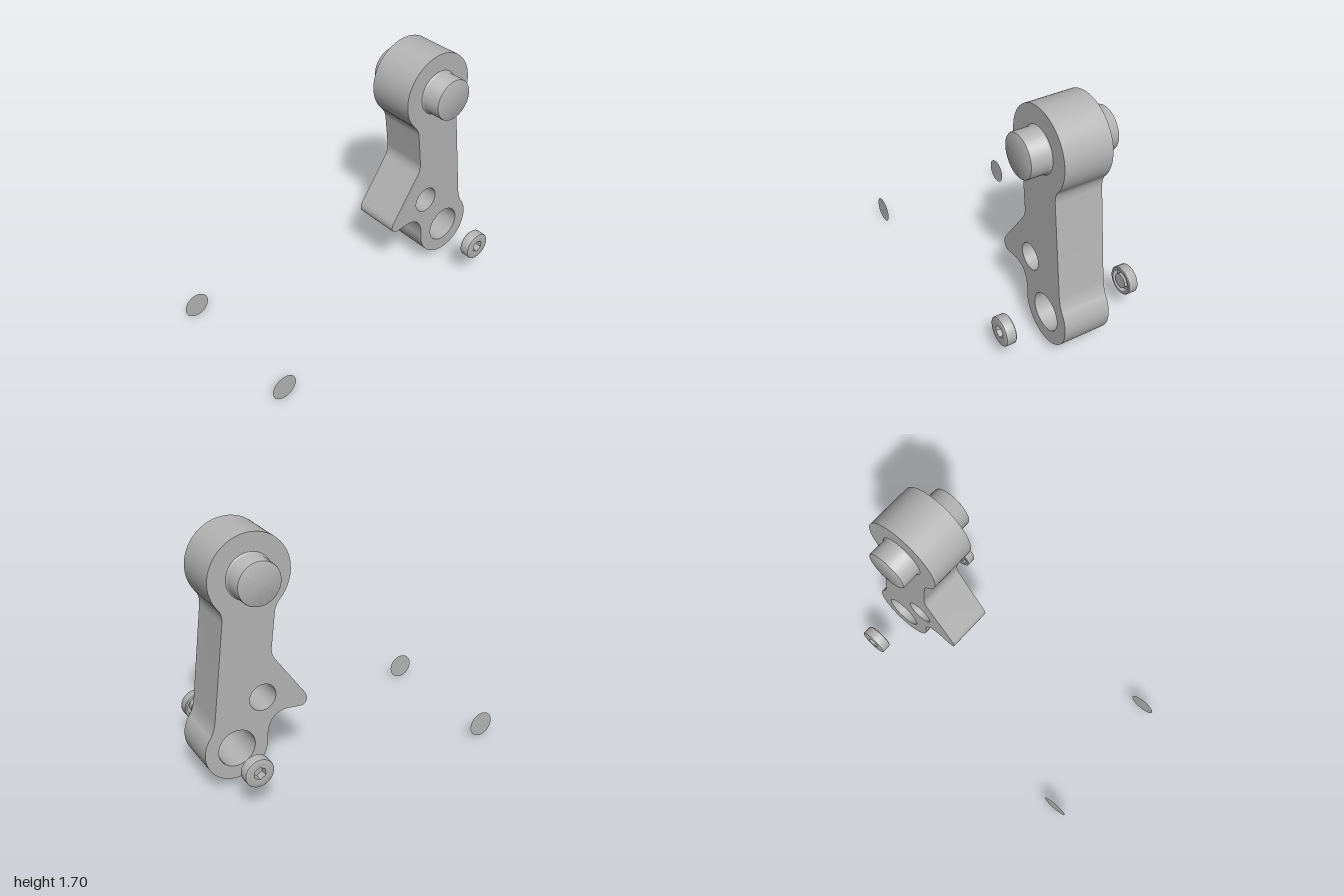
import * as THREE from 'three';
import { toCreasedNormals } from 'three/addons/utils/BufferGeometryUtils.js';

const grey = new THREE.MeshStandardMaterial({ color: 0xb4b4b4 });
grey.name = 'machined grey';
const greyThin = grey.clone();
greyThin.side = THREE.DoubleSide;

function part(name, geometry, material = grey) {
  const mesh = new THREE.Mesh(geometry, material);
  mesh.name = name;
  return mesh;
}

// Lathe about the x axis; points are [radius, x]
function turned(points, segments = 48) {
  const g = new THREE.LatheGeometry(points.map(([r, x]) => new THREE.Vector2(r, x)), segments);
  return toCreasedNormals(g.rotateZ(-Math.PI / 2), 0.6);
}

function circlePath(z, y, r) {
  const p = new THREE.Path();
  p.absarc(z, y, r, 0, Math.PI * 2, true);
  return p;
}

// Side outline drawn in (z, y), then extruded across x
function armGeometry() {
  const s = new THREE.Shape();
  s.absarc(-0.65, 1.43, 0.27, -0.73, 3.82, false);
  s.quadraticCurveTo(-0.832, 1.222, -0.842, 1.16);
  s.lineTo(-0.922, 0.53);
  s.quadraticCurveTo(-0.93, 0.475, -0.955, 0.43);
  s.absarc(-0.785, 0.296, 0.216, 2.474, 6.33, false);
  s.bezierCurveTo(-0.565, 0.42, -0.515, 0.475, -0.43, 0.475);
  s.lineTo(-0.335, 0.463);
  s.bezierCurveTo(-0.29, 0.458, -0.265, 0.505, -0.3, 0.556);
  s.lineTo(-0.5, 0.845);
  s.quadraticCurveTo(-0.527, 0.885, -0.523, 0.93);
  s.lineTo(-0.495, 1.16);
  s.quadraticCurveTo(-0.489, 1.212, -0.449, 1.25);
  s.holes.push(circlePath(-0.594, 0.604, 0.091), circlePath(-0.785, 0.296, 0.126));
  const g = new THREE.ExtrudeGeometry(s, { depth: 0.32, bevelEnabled: false, curveSegments: 40 });
  g.rotateY(-Math.PI / 2).translate(0.15, 0, 0);
  return toCreasedNormals(g, 0.6);
}

// Screw cap with hex socket outside and a hollow cup with a hub inside
function createCap(name) {
  const cap = new THREE.Group();
  cap.name = name;
  cap.add(part('capBody', turned([
    [0, -0.036], [0.05, -0.036], [0.05, 0], [0.076, 0], [0.076, -0.035],
    [0.091, -0.035], [0.096, -0.03], [0.096, 0.029], [0.094, 0.033], [0.09, 0.035], [0.06, 0.035],
  ])));

  const face = new THREE.Shape();
  face.absarc(0, 0, 0.06, 0, Math.PI * 2, false);
  const hex = [];
  for (let i = 0; i < 6; i++) {
    const a = Math.PI / 2 - i * Math.PI / 3;
    hex.push(new THREE.Vector2(Math.cos(a) * 0.043, Math.sin(a) * 0.043));
  }
  face.holes.push(new THREE.Path(hex));
  const faceGeo = new THREE.ShapeGeometry(face, 24).rotateY(Math.PI / 2).translate(0.035, 0, 0);
  cap.add(part('capFace', faceGeo));

  // Socket walls and floor
  const wall = new THREE.CylinderGeometry(0.043, 0.043, 0.05, 6, 1, true).toNonIndexed();
  wall.computeVertexNormals();
  wall.rotateZ(-Math.PI / 2).rotateX(Math.PI / 2).translate(0.01, 0, 0);
  cap.add(part('socketWall', wall, greyThin));
  const floor = new THREE.CircleGeometry(0.043, 6, Math.PI / 2).rotateY(Math.PI / 2).translate(-0.015, 0, 0);
  cap.add(part('socketFloor', floor));
  return cap;
}

export function createModel() {
  const model = new THREE.Group();
  model.name = 'leverAssembly';
  model.add(part('leverArm', armGeometry()));

  // Pivot pin through the upper boss, filleted where it meets the arm
  const pin = part('pivotPin', turned([
    [0, -0.305], [0.132, -0.305], [0.139, -0.302], [0.142, -0.295],
    [0.142, -0.18], [0.145, -0.174], [0.151, -0.17],
    [0.151, 0.15], [0.145, 0.154], [0.142, 0.16],
    [0.142, 0.275], [0.139, 0.282], [0.132, 0.285], [0, 0.285],
  ], 64));
  pin.position.set(0, 1.43, -0.653);
  model.add(pin);

  for (const side of [1, -1]) {
    const label = side > 0 ? 'left' : 'right';
    // Loose caps either side of the lower bore
    const cap = createCap(label + 'ScrewCap');
    cap.position.set(side * 0.449, 0.295, -0.787);
    if (side < 0) cap.rotation.y = Math.PI;
    model.add(cap);
    // Thin loose discs at the front
    const disc = part(label + 'Disc', new THREE.CircleGeometry(0.088, 40).rotateY(side * Math.PI / 2), greyThin);
    disc.position.set(side * 0.484, 0.089, 0.912);
    model.add(disc);
  }
  return model;
}
